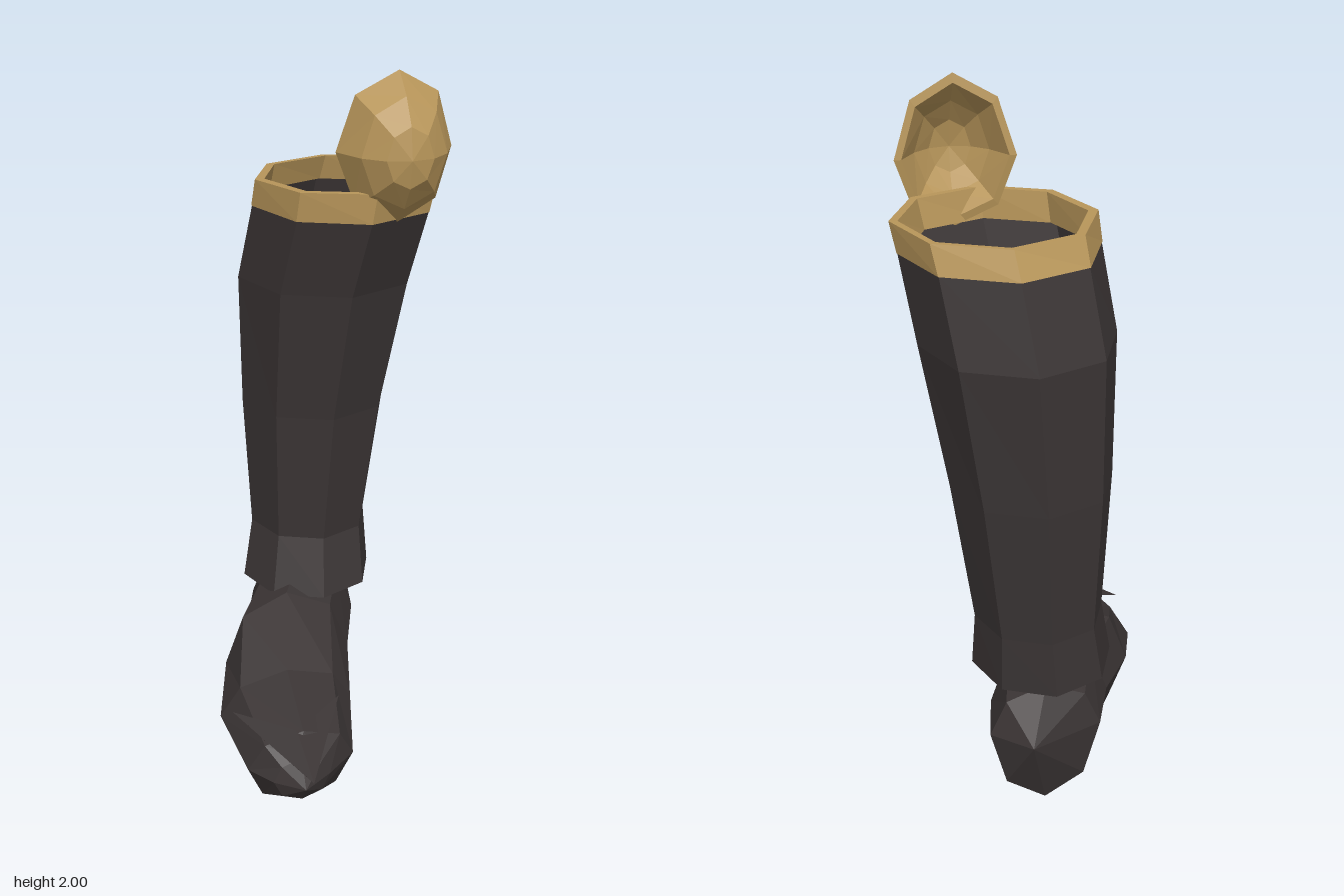
import * as THREE from 'three';

const SIDES = 8;

// Skin a list of rings (equal point counts) with flat quads.
function loft(rings) {
  const pos = [];
  for (let r = 0; r < rings.length - 1; r++) {
    const a = rings[r], b = rings[r + 1];
    for (let i = 0; i < a.length; i++) {
      const j = (i + 1) % a.length;
      pos.push(...a[i], ...b[i], ...b[j], ...a[i], ...b[j], ...a[j]);
    }
  }
  return fromTriangles(pos);
}

function fromTriangles(pos) {
  const g = new THREE.BufferGeometry();
  g.setAttribute('position', new THREE.Float32BufferAttribute(pos, 3));
  g.computeVertexNormals();
  return g;
}

function ring(point) {
  return Array.from({ length: SIDES }, (_, i) => {
    const t = (i / SIDES) * Math.PI * 2;
    return point(Math.cos(t), Math.sin(t));
  });
}

// Horizontal ring from its extents in x and z; tilt lowers the back.
function legRing(y, x0, x1, z0, z1, tilt = 0) {
  const cx = (x0 + x1) / 2, rx = (x1 - x0) / 2;
  const cz = (z0 + z1) / 2, rz = (z1 - z0) / 2;
  return ring((c, s) => [cx + rx * c, y + tilt * s, cz + rz * s]);
}

// Upright foot section: centre, half width, widest height, bottom and top.
function footRing(z, cx, hw, mid, bottom, top, lean = 0) {
  return ring((c, s) => [
    cx + hw * c,
    mid + s * (s > 0 ? top - mid : mid - bottom),
    z + lean * s,
  ]);
}

// Domed plate section: scale of the oval and its forward depth.
function kneeRing(scale, depth, curl) {
  return ring((c, s) => [
    0.17 + 0.16 * scale * c,
    1.79 + (s > 0 ? 0.21 : 0.19) * scale * s,
    depth + curl * s * s,
  ]);
}

export function createModel() {
  const leather = new THREE.MeshStandardMaterial({ color: 0x3b3535, flatShading: true, side: THREE.DoubleSide });
  leather.name = 'dark leather';
  const gold = new THREE.MeshStandardMaterial({ color: 0xb8965a, flatShading: true, side: THREE.DoubleSide });
  gold.name = 'gold';

  const model = new THREE.Group();
  model.name = 'armouredBoot';
  const add = (name, geometry, material) => {
    const m = new THREE.Mesh(geometry, material);
    m.name = name;
    model.add(m);
  };

  // Open shaft, widening from ankle to calf
  add('shaft', loft([
    legRing(0.43, -0.205, 0.19, -0.48, -0.06),
    legRing(0.6, -0.17, 0.185, -0.485, -0.115),
    legRing(1.0, -0.19, 0.245, -0.525, -0.075),
    legRing(1.39, -0.2, 0.315, -0.545, 0.005),
    legRing(1.61, -0.17, 0.35, -0.483, 0.075),
  ]), leather);

  // Gold rim with an inner lip
  add('topBand', loft([
    legRing(1.61, -0.172, 0.352, -0.486, 0.077),
    legRing(1.687, -0.165, 0.367, -0.452, 0.085, 0.005),
    legRing(1.687, -0.138, 0.345, -0.435, 0.063, 0.005),
    legRing(1.61, -0.145, 0.328, -0.458, 0.052),
  ]), gold);

  // Hollow knee plate: outer dome, lip and inner bowl
  add('kneePlate', loft([
    kneeRing(0, 0.155, 0),
    kneeRing(0.4, 0.14, 0),
    kneeRing(0.73, 0.09, 0.005),
    kneeRing(1, 0, 0.034),
    kneeRing(0.88, 0, 0.03),
    kneeRing(0.62, 0.07, 0.005),
    kneeRing(0.35, 0.11, 0),
    kneeRing(0, 0.125, 0),
  ]), gold);

  // Foot, from toe to heel, turned outward
  add('foot', loft([
    footRing(0.455, -0.2, 0, 0.14, 0.14, 0.14),
    footRing(0.41, -0.2, 0.08, 0.15, 0.08, 0.215),
    footRing(0.34, -0.185, 0.152, 0.155, 0.005, 0.275, 0.03),
    footRing(0.13, -0.175, 0.195, 0.2, 0.03, 0.335, 0.02),
    footRing(-0.07, -0.12, 0.19, 0.25, 0.05, 0.46),
    footRing(-0.25, -0.035, 0.17, 0.275, 0.065, 0.47),
    footRing(-0.42, 0.01, 0.155, 0.285, 0.052, 0.43),
    footRing(-0.507, 0.06, 0, 0.285, 0.285, 0.285),
  ]), leather);

  // Winged toe spike, mirrored about its ridge
  const tip = [-0.2, 0.225, 0.54], ridge = [-0.2, 0.272, 0.36], keel = [-0.2, 0.175, 0.43];
  const left = [-0.045, 0.28, 0.235], right = [-0.355, 0.28, 0.235];
  add('toeSpike', fromTriangles([
    ...right, ...tip, ...ridge,
    ...ridge, ...tip, ...left,
    ...right, ...keel, ...tip,
    ...left, ...tip, ...keel,
  ]), leather);

  return model;
}
